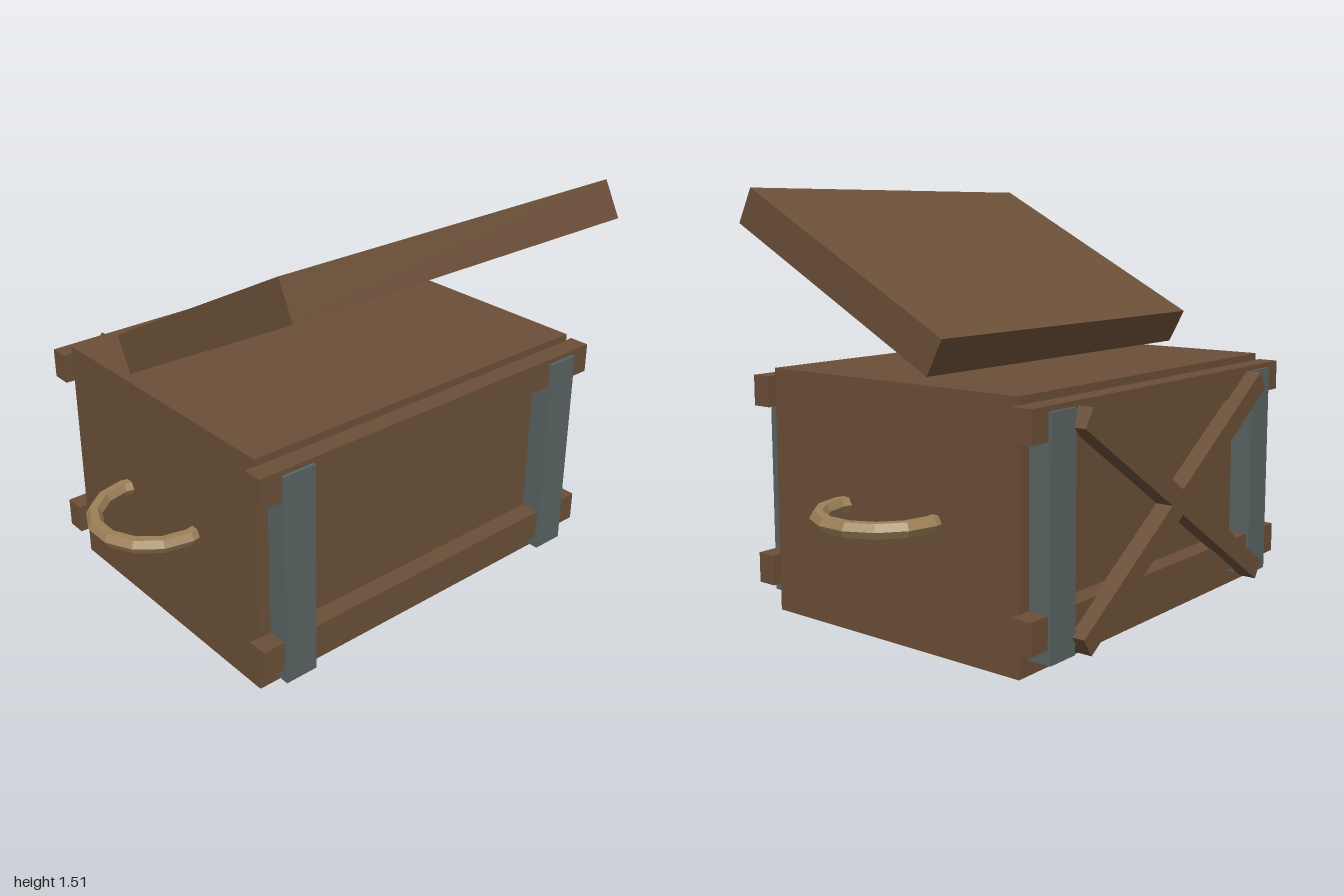
import * as THREE from 'three';

export function createModel() {
  const crate = new THREE.Group();
  crate.name = 'crate';
  const material = (name, color) => {
    const m = new THREE.MeshStandardMaterial({ color, flatShading: true });
    m.name = name;
    return m;
  };
  const wood = material('brown wood', 0x6b4f38);
  const metal = material('grey metal', 0x5a6363);
  const rope = material('tan rope', 0x9c8057);

  const addBox = (name, mat, size, pos) => {
    const mesh = new THREE.Mesh(new THREE.BoxGeometry(...size), mat);
    mesh.name = name;
    mesh.position.set(...pos);
    crate.add(mesh);
    return mesh;
  };

  // Solid crate body
  addBox('body', wood, [1.475, 0.885, 1.105], [0, 0.4425, -0.0275]);

  // Raised lid, tilted up toward the front
  const lid = addBox('lid', wood, [1.45, 0.141, 1.024], [0, 1.2125, 0.225]);
  lid.rotation.x = -Math.atan2(0.48, 0.905);

  // Horizontal planks and metal straps on the front and back
  for (const [side, plankZ, strapZ] of [['front', 0.559, 0.565], ['back', -0.616, -0.621]]) {
    for (const [level, y] of [['Upper', 0.803], ['Lower', 0.154]])
      addBox(side + level + 'Plank', wood, [1.545, 0.11, 0.076], [0, y, plankZ]);
    for (const [hand, x] of [['Left', 0.625], ['Right', -0.625]])
      addBox(side + hand + 'Strap', metal, [0.128, 0.79, 0.088], [x, 0.445, strapZ]);
  }

  // Crossed braces on the back
  for (const s of [1, -1]) {
    const brace = addBox(s > 0 ? 'braceRising' : 'braceFalling', wood,
      [1.33, 0.075, 0.065], [0, 0.445, -0.678]);
    brace.rotation.z = s * 0.58;
  }

  // Ring handles, partly sunk into the sides
  for (const s of [1, -1]) {
    const geo = new THREE.TorusGeometry(0.212, 0.029, 6, 14);
    geo.rotateZ(Math.PI / 14).rotateX(Math.PI / 2);
    const handle = new THREE.Mesh(geo, rope);
    handle.name = s > 0 ? 'leftHandle' : 'rightHandle';
    handle.position.set(s * 0.765, 0.445, -0.03);
    crate.add(handle);
  }
  return crate;
}
